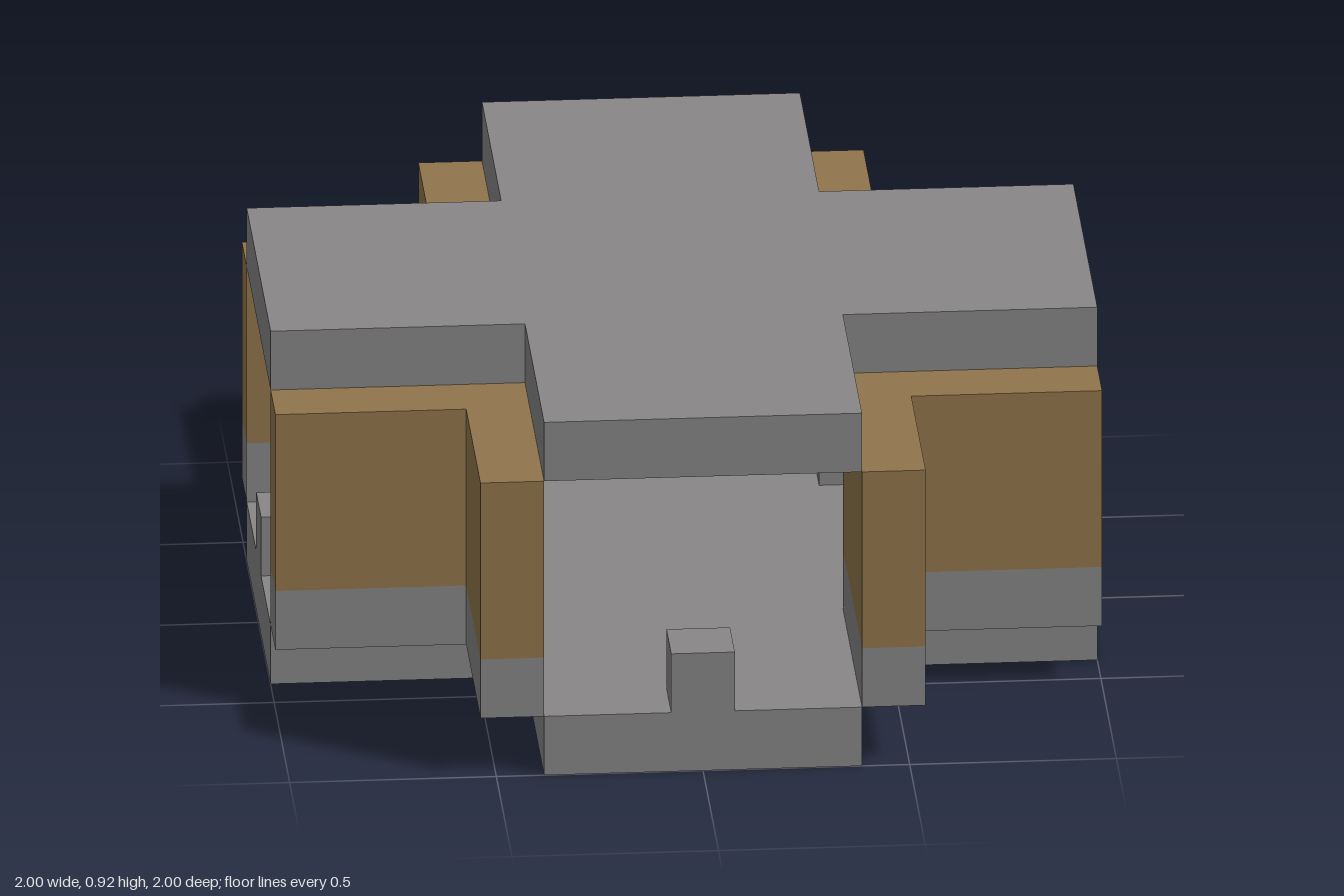
import * as THREE from 'three';

const U = 1 / 13; // one block unit

// Extrude a plan outline (in units) upward from y0 to y1
function prism(points, y0, y1, material, name) {
  const shape = new THREE.Shape(points.map(([x, z]) => new THREE.Vector2(x * U, z * U)));
  const geometry = new THREE.ExtrudeGeometry(shape, { depth: (y1 - y0) * U, bevelEnabled: false });
  geometry.rotateX(-Math.PI / 2);
  geometry.translate(0, y0 * U, 0);
  const mesh = new THREE.Mesh(geometry, material);
  mesh.name = name;
  return mesh;
}

export function createModel() {
  const stone = new THREE.MeshStandardMaterial({ color: 0x888686 });
  stone.name = 'grey stone';
  const wood = new THREE.MeshStandardMaterial({ color: 0x91754c });
  wood.name = 'brown wood';

  const model = new THREE.Group();
  model.name = 'crossCorridor';

  // Cross-shaped floor and roof
  const cross = [
    [5, 13], [-5, 13], [-5, 5], [-13, 5], [-13, -5], [-5, -5],
    [-5, -13], [5, -13], [5, -5], [13, -5], [13, 5], [5, 5],
  ];
  model.add(prism(cross, 0, 2, stone, 'floor'), prism(cross, 10, 12, stone, 'roof'));

  // Four quarters: an L-shaped corner wall with a stone foot, and a post at the arm end
  const corner = [[5, 5], [13, 5], [13, 7], [7, 7], [7, 13], [5, 13]];
  const post = [[-1, 11], [1, 11], [1, 13], [-1, 13]];
  for (let i = 0; i < 4; i++) {
    const quarter = new THREE.Group();
    quarter.name = `quarter${i + 1}`;
    quarter.add(
      prism(corner, 2, 4, stone, 'wallFoot'),
      prism(corner, 4, 10, wood, 'wall'),
      prism(post, 2, 4, stone, 'entrancePost'),
    );
    quarter.rotation.y = (i * Math.PI) / 2;
    model.add(quarter);
  }
  return model;
}
